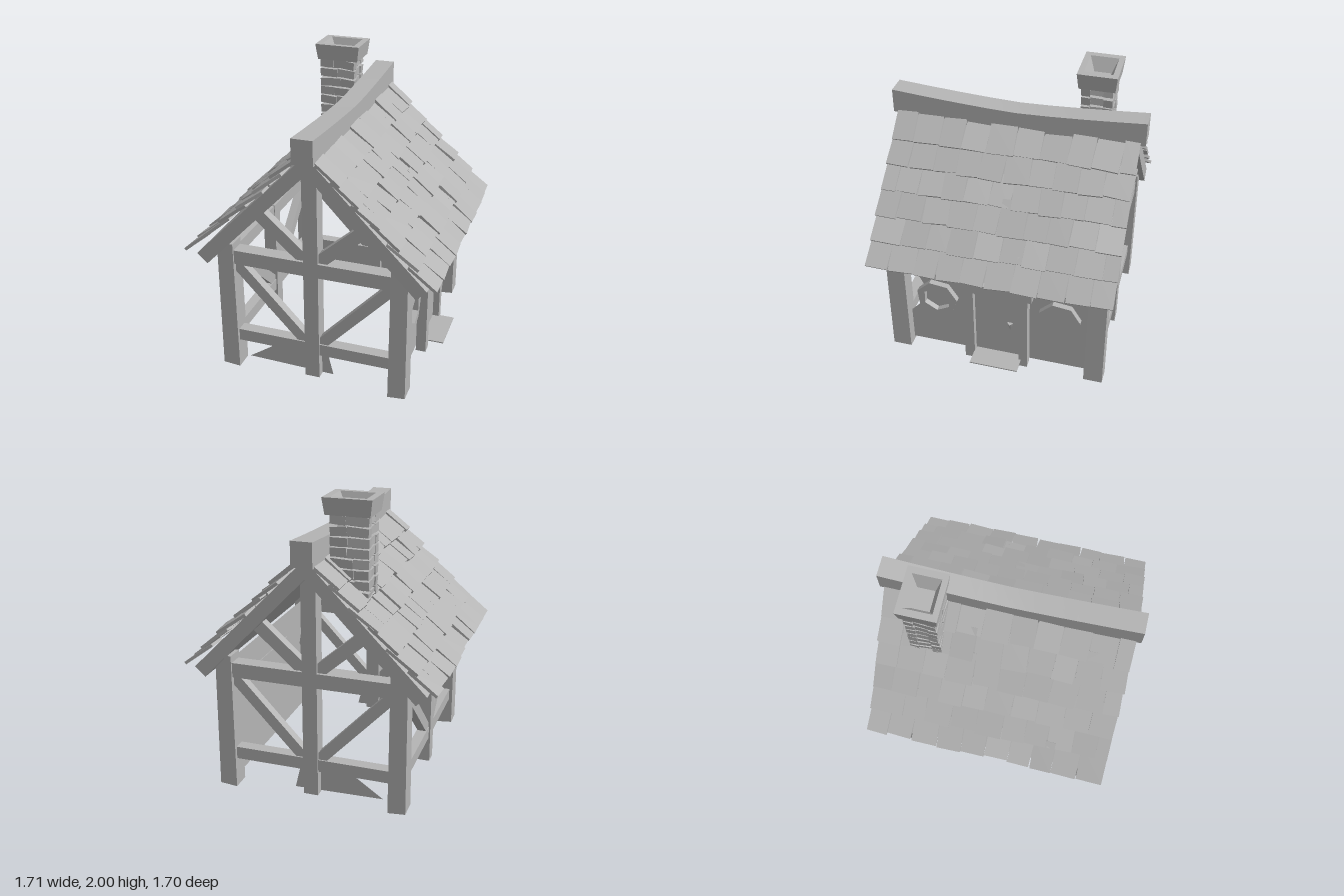
import * as THREE from 'three';

const grey = new THREE.MeshStandardMaterial({ color: 0xb4b4b4 });
grey.name = 'plain grey';
grey.side = THREE.DoubleSide;

// Small seeded random, returns -1..1
let seed = 7;
const rnd = () => {
  seed = (seed * 16807) % 2147483647;
  return (seed / 2147483647) * 2 - 1;
};

function add(parent, name, geometry, x = 0, y = 0, z = 0) {
  const mesh = new THREE.Mesh(geometry, grey);
  mesh.name = name;
  mesh.position.set(x, y, z);
  parent.add(mesh);
  return mesh;
}

const box = (w, h, d, sx = 1, sy = 1, sz = 1) => new THREE.BoxGeometry(w, h, d, sx, sy, sz);

// Straight timber between two points; w is its x size and d its z size when upright
function beam(parent, name, a, b, w, d) {
  const start = new THREE.Vector3(...a), end = new THREE.Vector3(...b);
  const dir = end.clone().sub(start);
  const mesh = add(parent, name, box(w, dir.length(), d));
  mesh.position.copy(start).add(end).multiplyScalar(0.5);
  mesh.quaternion.setFromUnitVectors(new THREE.Vector3(0, 1, 0), dir.normalize());
  return mesh;
}

const shapeOf = (points) => new THREE.Shape(points.map(([x, y]) => new THREE.Vector2(x, y)));

// Timber frame of one gable end
function gableFrame(z) {
  const g = new THREE.Group();
  g.name = 'gableFrame';
  beam(g, 'centrePost', [0, 0.03, z], [0, 1.58, z], 0.1, 0.1);
  beam(g, 'crossBeam', [-0.56, 0.85, z], [0.56, 0.85, z], 0.1, 0.1);
  beam(g, 'lowerBeam', [-0.56, 0.245, z], [0.56, 0.245, z], 0.085, 0.08);
  for (const s of [-1, 1]) {
    beam(g, 'lowerBrace', [s * 0.03, 0.26, z], [s * 0.55, 0.81, z], 0.075, 0.06);
    beam(g, 'upperBrace', [s * 0.02, 0.88, z], [s * 0.36, 1.18, z], 0.085, 0.06);
  }
  // Broken scrap of infill at the foot
  add(g, 'wallScrap', new THREE.ShapeGeometry(
    shapeOf([[-0.48, 0.05], [0.13, 0.035], [0.09, 0.2], [-0.26, 0.2]])), 0, 0, z * 0.99);
  return g;
}

// Timber frame of the open side wall
function sideFrame(x) {
  const g = new THREE.Group();
  g.name = 'sideFrame';
  beam(g, 'centrePost', [x, 0.02, 0], [x, 0.9, 0], 0.09, 0.09);
  beam(g, 'topPlate', [x, 0.85, -0.68], [x, 0.85, 0.68], 0.08, 0.09);
  beam(g, 'lowerBeam', [x, 0.245, -0.68], [x, 0.245, 0.68], 0.07, 0.085);
  for (const s of [-1, 1])
    beam(g, 'brace', [x, 0.26, s * 0.03], [x, 0.81, s * 0.64], 0.06, 0.075);
  return g;
}

// Side wall with door, frame and two faceted windows
function doorWall() {
  const g = new THREE.Group();
  g.name = 'doorWall';
  const panel = add(g, 'wallPanel', new THREE.ShapeGeometry(shapeOf([
    [-0.66, 0.03], [0.66, 0.03], [0.64, 0.29], [0.54, 0.4], [0.52, 0.54], [0.64, 0.8],
    [0.64, 0.9], [-0.66, 0.9]])), 0.57);
  panel.rotation.y = -Math.PI / 2;
  add(g, 'door', box(0.03, 0.58, 0.34), 0.59, 0.35, -0.015);
  add(g, 'doorPost', box(0.07, 0.62, 0.07), 0.615, 0.33, 0.185);
  add(g, 'doorPost', box(0.07, 0.62, 0.06), 0.615, 0.33, -0.2);
  add(g, 'lintel', box(0.09, 0.075, 0.52), 0.61, 0.675, 0);
  add(g, 'doorStep', box(0.17, 0.008, 0.34), 0.675, 0.076, -0.015);
  const handle = add(g, 'doorHandle', new THREE.ConeGeometry(0.022, 0.06, 4), 0.612, 0.35, -0.1);
  handle.rotation.x = Math.PI;
  for (const [z, hollow] of [[0.425, true], [-0.44, false]]) {
    const ring = (r, n, turn) => Array.from({ length: n }, (_, i) => {
      const a = turn + (i / n) * Math.PI * 2;
      return [Math.cos(a) * r, Math.sin(a) * r];
    });
    const outline = shapeOf(ring(0.148, 7, 0.1));
    if (hollow) outline.holes.push(new THREE.Path(shapeOf(ring(0.1, 6, 0.5)).getPoints()));
    const frame = add(g, 'windowFrame', new THREE.ExtrudeGeometry(outline,
      { depth: 0.04, bevelEnabled: false }), 0.575, 0.48, z);
    frame.rotation.y = Math.PI / 2;
  }
  return g;
}

// Staggered, uneven shingles for the +x slope
function shingles() {
  const g = new THREE.Group();
  g.name = 'shingles';
  for (let row = 0; row < 6; row++) {
    let z = -0.82;
    let first = true;
    while (z < 0.8) {
      let w = 0.165 + rnd() * 0.02;
      if (first && row % 2) w *= 0.6;
      if (0.82 - z - w < 0.07) w = 0.82 - z;
      first = false;
      const length = 0.235 + rnd() * 0.015;
      const angle = 0.66 + rnd() * 0.05;
      const tipX = 0.84 - row * 0.124 + rnd() * 0.01, tipY = 0.885 + row * 0.121;
      const tile = add(g, 'shingle', box(length, 0.02, w - 0.004),
        tipX - Math.cos(angle) * length / 2, tipY + Math.sin(angle) * length / 2, z + w / 2);
      tile.rotation.set(rnd() * 0.06, rnd() * 0.05, -angle);
      z += w;
    }
  }
  return g;
}

// Rough stone chimney with a hollow, flared cap
function chimney() {
  const g = new THREE.Group();
  g.name = 'chimney';
  g.position.set(-0.215, 0, -0.495);
  add(g, 'chimneyCore', box(0.17, 0.55, 0.14), 0, 1.63, 0);
  const courses = 8;
  for (let i = 0; i < courses; i++) {
    const y = 1.39 + i * 0.067;
    for (const s of [-1, 1]) {
      const split = rnd() * 0.035;
      const left = 0.125 + split, right = 0.125 - split;
      const a = add(g, 'stone', box(left, 0.056, 0.06), -0.125 + left / 2, y, s * 0.073);
      const b = add(g, 'stone', box(right, 0.056, 0.06), 0.125 - right / 2, y, s * 0.073);
      const c = add(g, 'stone', box(0.06, 0.05, 0.1), s * 0.09, y, 0);
      for (const m of [a, b, c]) m.rotation.set(rnd() * 0.05, rnd() * 0.08, rnd() * 0.1);
    }
  }
  // Square cap: outer wall, rim and sunken inside from a four-sided lathe
  const k = Math.SQRT2;
  const profile = [[0, 1.89], [0.145, 1.89], [0.16, 2.0], [0.115, 2.0], [0.07, 1.91], [0, 1.91]]
    .map(([r, y]) => new THREE.Vector2(r * k, y));
  const capGeo = new THREE.LatheGeometry(profile, 4).rotateY(Math.PI / 4).scale(1, 1, 0.82).toNonIndexed();
  capGeo.computeVertexNormals();
  add(g, 'chimneyCap', capGeo, 0.007, 0, 0);
  return g;
}

export function createModel() {
  const house = new THREE.Group();
  house.name = 'cottage';

  // Slightly tapered corner posts
  for (const x of [-1, 1]) for (const z of [-1, 1]) {
    const geo = box(0.11, 0.94, 0.125);
    const p = geo.attributes.position;
    for (let i = 0; i < p.count; i++)
      if (p.getY(i) < 0) p.setXYZ(i, p.getX(i) * 1.08, p.getY(i) - (p.getX(i) * x > 0 ? 0 : 0.01), p.getZ(i) * 1.05);
    geo.computeVertexNormals();
    add(house, 'cornerPost', geo, x * 0.59, 0.48, z * 0.7);
  }

  house.add(gableFrame(0.7), gableFrame(-0.7), sideFrame(-0.59), doorWall());

  // Roof slab, a folded board along the whole length
  add(house, 'roofSlab', new THREE.ExtrudeGeometry(shapeOf([
    [0, 1.655], [-0.775, 0.865], [-0.705, 0.8], [0, 1.53], [0.705, 0.8], [0.775, 0.865]]),
  { depth: 1.6, bevelEnabled: false }), 0, 0, -0.8);

  const rightTiles = shingles();
  const leftTiles = shingles();
  leftTiles.rotation.y = Math.PI;
  house.add(rightTiles, leftTiles);

  // Sagging ridge beam
  const ridge = box(0.14, 0.165, 1.7, 1, 1, 8);
  const rp = ridge.attributes.position;
  for (let i = 0; i < rp.count; i++) {
    const t = Math.abs(rp.getZ(i)) / 0.85;
    rp.setY(i, rp.getY(i) + 0.05 * Math.pow(t, 1.4));
  }
  ridge.computeVertexNormals();
  add(house, 'ridgeBeam', ridge, 0, 1.645, 0);

  house.add(chimney());
  return house;
}
